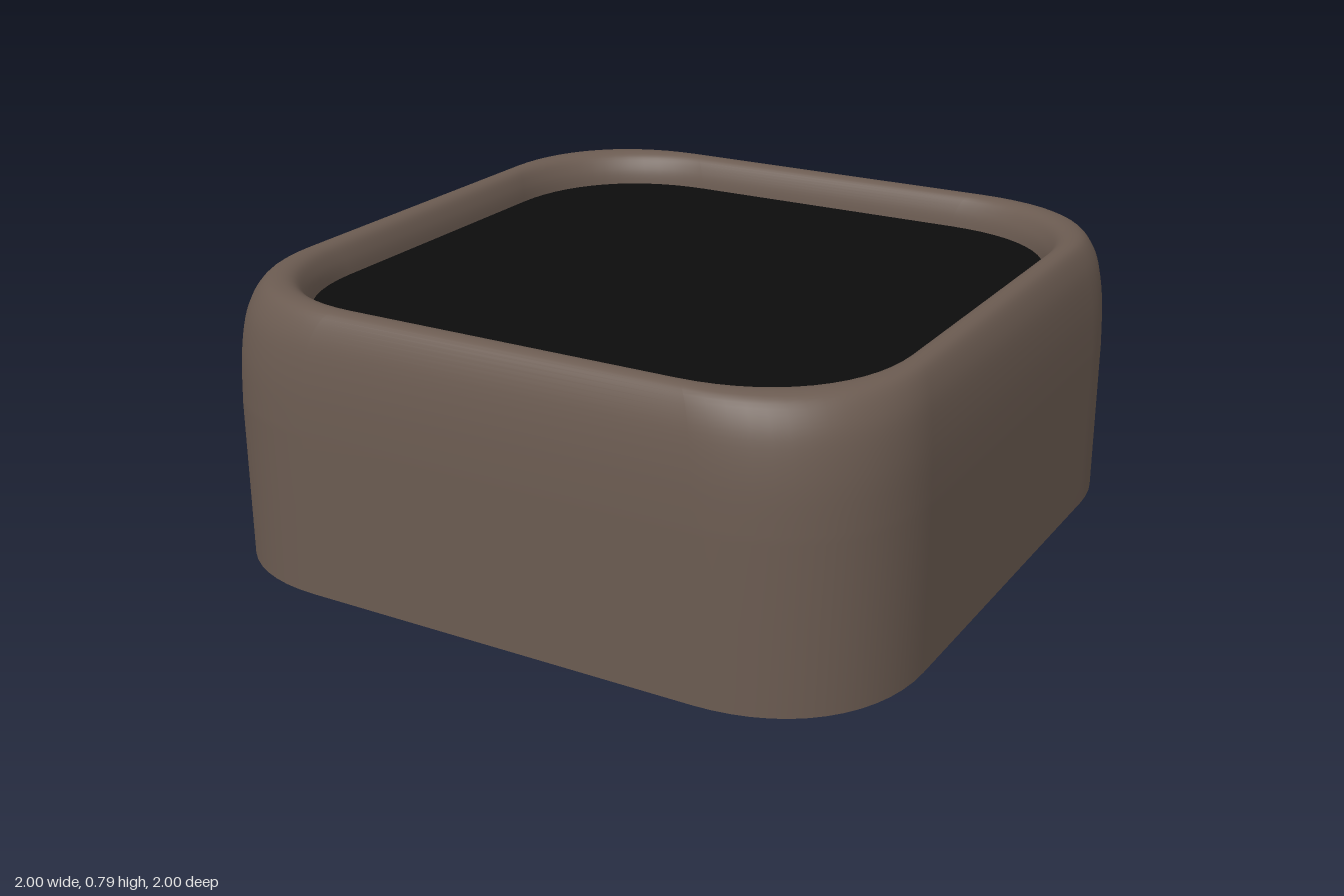
import * as THREE from 'three';

const CORNER = 0.42, HANDLE = 0.6, STEPS = 14;

// Rounded-square outline of the given half width, running from +x towards +z
function outline(h) {
  const c = h - CORNER, k = c + CORNER * HANDLE;
  const corner = new THREE.CubicBezierCurve(
    new THREE.Vector2(h, c), new THREE.Vector2(h, k),
    new THREE.Vector2(k, h), new THREE.Vector2(c, h)).getPoints(STEPS);
  const pts = [];
  for (let q = 0; q < 4; q++) {
    for (const p of corner) pts.push(p.clone().rotateAround(new THREE.Vector2(), q * Math.PI / 2));
  }
  return pts;
}

// Skin a profile of (half width, height) points around the outline
function sweep(profile) {
  const pos = [], idx = [];
  for (const p of profile) for (const o of outline(p.x)) pos.push(o.x, p.y, o.y);
  const n = 4 * (STEPS + 1);
  for (let i = 0; i < profile.length - 1; i++) {
    for (let j = 0; j < n; j++) {
      const a = i * n + j, b = i * n + (j + 1) % n;
      idx.push(a, a + n, b, b, a + n, b + n);
    }
  }
  const g = new THREE.BufferGeometry();
  g.setAttribute('position', new THREE.Float32BufferAttribute(pos, 3));
  g.setIndex(idx);
  g.computeVertexNormals();
  return g;
}

export function createModel() {
  const group = new THREE.Group();
  const clay = new THREE.MeshStandardMaterial({ color: 0x6b5b51, side: THREE.DoubleSide });
  const earth = new THREE.MeshStandardMaterial({ color: 0x0c0c0c, side: THREE.DoubleSide });
  const add = (name, geometry, material) => {
    const mesh = new THREE.Mesh(geometry, material);
    mesh.name = name;
    group.add(mesh);
    return mesh;
  };
  const V = (x, y) => new THREE.Vector2(x, y);

  // Wall: up the outside, over the soft rim, down the inside
  const rim = new THREE.SplineCurve([
    V(1, 0.45), V(0.995, 0.58), V(0.983, 0.68), V(0.966, 0.74), V(0.942, 0.78), V(0.912, 0.79),
    V(0.887, 0.78), V(0.87, 0.75), V(0.86, 0.71), V(0.855, 0.64),
  ]).getPoints(36);
  add('potWall', sweep([V(1, 0), V(1, 0.25), ...rim, V(0.855, 0.3), V(0.855, 0)]), clay);

  // Flat foot with sharp edges
  add('footRing', sweep([V(0.855, 0), V(1, 0)]), clay);

  // Soil sheet closing the pot just below the rim
  const soil = new THREE.ShapeGeometry(new THREE.Shape(outline(0.859)));
  soil.rotateX(-Math.PI / 2);
  add('soil', soil, earth).position.y = 0.695;

  return group;
}
